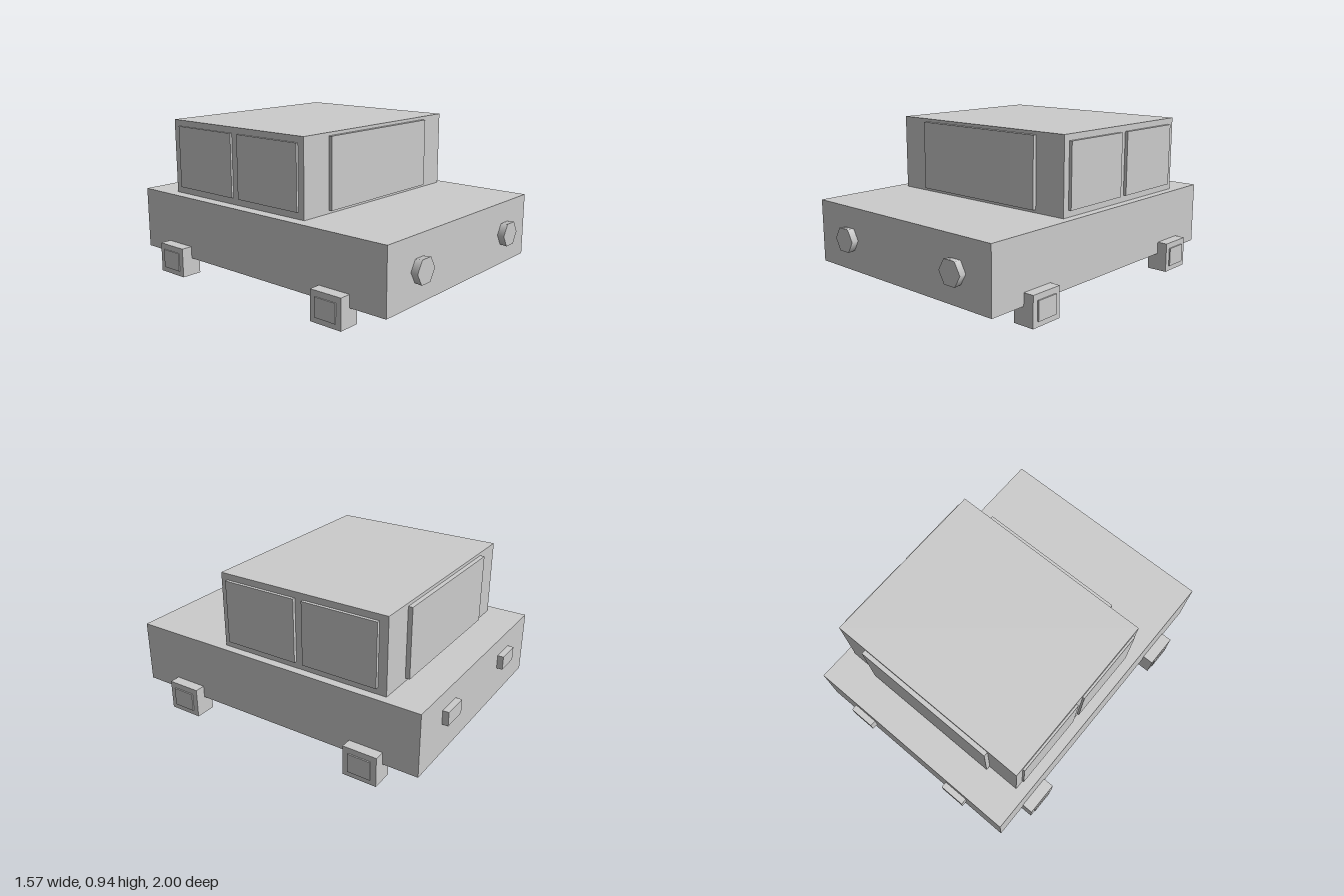
import * as THREE from 'three';

export function createModel() {
  const car = new THREE.Group();
  const grey = new THREE.MeshStandardMaterial({ color: 0xcccccc });

  // Box given by its limits along each axis
  const box = (name, [x0, x1], [y0, y1], [z0, z1]) => {
    const mesh = new THREE.Mesh(new THREE.BoxGeometry(x1 - x0, y1 - y0, z1 - z0), grey);
    mesh.position.set((x0 + x1) / 2, (y0 + y1) / 2, (z0 + z1) / 2);
    mesh.name = name;
    car.add(mesh);
  };

  // Body and cabin
  box('body', [-0.712, 0.71], [0.107, 0.488], [-0.963, 0.955]);
  box('cabin', [-0.643, 0.66], [0.488, 0.945], [-0.735, 0.347]);

  // Front and rear windows
  box('windscreen', [-0.441, 0.462], [0.507, 0.926], [0.3, 0.37]);
  box('rearWindow', [-0.441, 0.462], [0.507, 0.926], [-0.762, -0.7]);

  // Two windows on each side
  for (const [name, z] of [['frontSideWindow', [-0.163, 0.305]], ['rearSideWindow', [-0.682, -0.215]]]) {
    box(name + 'Left', [0.62, 0.679], [0.528, 0.908], z);
    box(name + 'Right', [-0.656, -0.6], [0.528, 0.908], z);
  }

  // Square wheels with hubcaps
  for (const [name, z] of [['front', 0.617], ['rear', -0.645]]) {
    const tyre = [z - 0.105, z + 0.105];
    const hub = [z - 0.071, z + 0.071];
    box(name + 'WheelLeft', [0.644, 0.774], [0, 0.181], tyre);
    box(name + 'WheelRight', [-0.781, -0.651], [0, 0.181], tyre);
    box(name + 'HubcapLeft', [0.72, 0.782], [0.032, 0.146], hub);
    box(name + 'HubcapRight', [-0.787, -0.73], [0.032, 0.146], hub);
  }

  // Hexagonal headlights, flaring slightly forwards
  for (const [name, x] of [['headlightLeft', 0.458], ['headlightRight', -0.436]]) {
    const geometry = new THREE.CylinderGeometry(0.079, 0.072, 0.06, 6, 1, false, Math.PI / 2);
    geometry.rotateX(Math.PI / 2);
    const light = new THREE.Mesh(geometry, grey);
    light.position.set(x, 0.296, 0.97);
    light.name = name;
    car.add(light);
  }

  // Tail lights
  box('tailLightLeft', [0.3, 0.46], [0.297, 0.382], [-1, -0.94]);
  box('tailLightRight', [-0.443, -0.284], [0.297, 0.382], [-1, -0.94]);

  return car;
}
